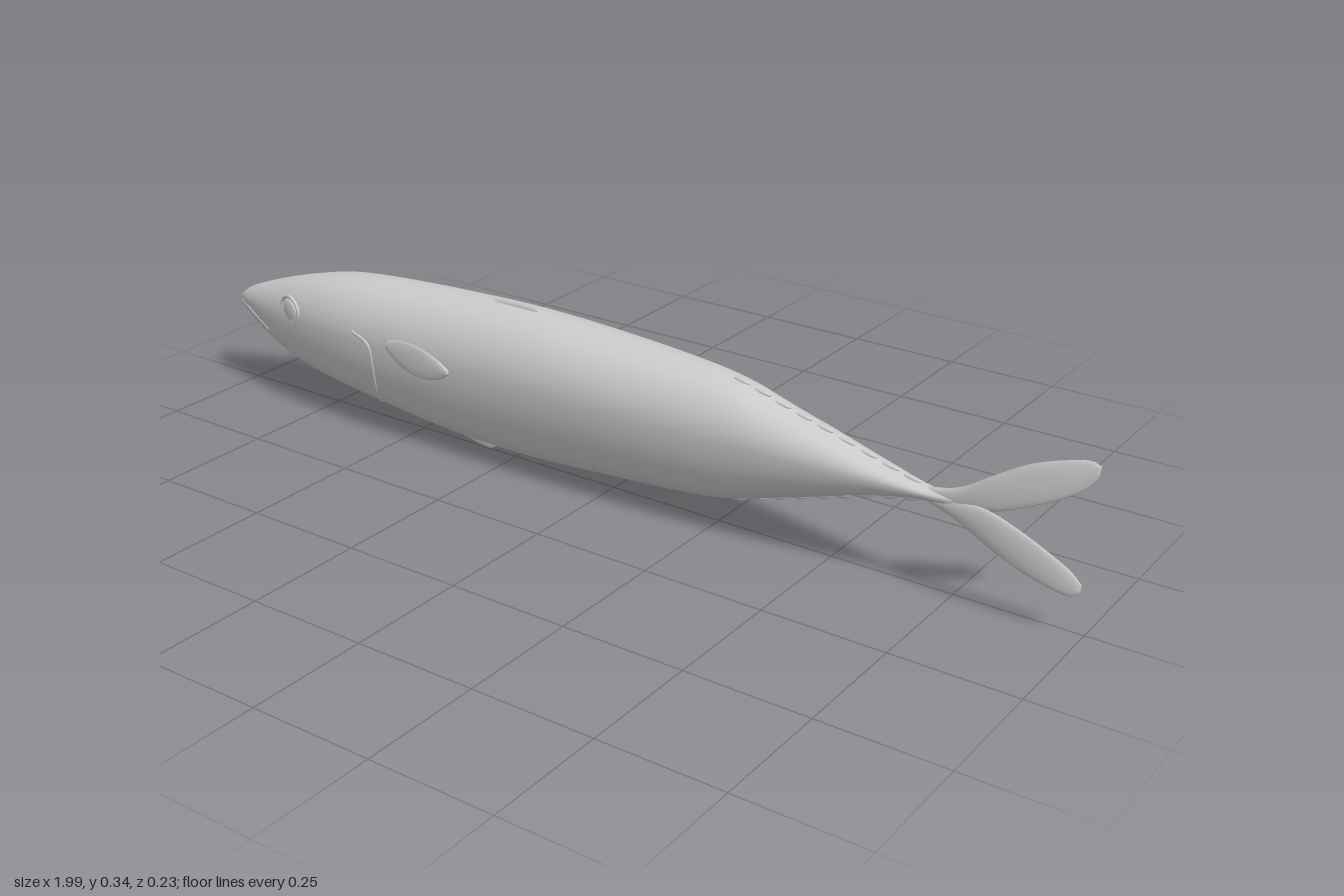
import * as THREE from 'three';

const material = new THREE.MeshStandardMaterial({ color: 0xcccccc, roughness: 0.8 });

// Body stations: x, bottom y, top y, right z (back side), left z (front side)
const BODY = [
  [-1.0, 0.187, 0.215, 0.008, 0.032], [-0.98, 0.168, 0.23, -0.004, 0.042],
  [-0.9, 0.12, 0.262, -0.032, 0.065], [-0.8, 0.084, 0.293, -0.06, 0.085],
  [-0.7, 0.064, 0.315, -0.085, 0.098], [-0.6, 0.05, 0.326, -0.095, 0.104],
  [-0.4, 0.027, 0.335, -0.109, 0.106], [-0.2, 0.022, 0.339, -0.114, 0.106],
  [0.0, 0.035, 0.332, -0.112, 0.105], [0.2, 0.053, 0.321, -0.094, 0.098],
  [0.3, 0.072, 0.31, -0.076, 0.092], [0.4, 0.105, 0.286, -0.055, 0.085],
  [0.5, 0.138, 0.262, -0.035, 0.075], [0.6, 0.17, 0.236, -0.014, 0.062],
  [0.7, 0.19, 0.215, 0.01, 0.047], [0.77, 0.19, 0.212, 0.022, 0.035],
];

// Smooth interpolation of a station table at x
function station(rows, x) {
  let i = 0;
  while (i < rows.length - 2 && x > rows[i + 1][0]) i++;
  const [a, b] = [rows[i], rows[i + 1]];
  const p = rows[Math.max(i - 1, 0)], n = rows[Math.min(i + 2, rows.length - 1)];
  const h = b[0] - a[0], t = (x - a[0]) / h, t2 = t * t, t3 = t2 * t;
  return a.map((v, k) => k === 0 ? x :
    (2 * t3 - 3 * t2 + 1) * v + (t3 - 2 * t2 + t) * h * (b[k] - p[k]) / (b[0] - p[0]) +
    (3 * t2 - 2 * t3) * b[k] + (t3 - t2) * h * (n[k] - v) / (n[0] - a[0]));
}

// Loft of egg-shaped rings through a station table; belly = height of the widest point
function loft(rows, steps, sides, belly) {
  const pos = [], idx = [];
  const x0 = rows[0][0], x1 = rows[rows.length - 1][0];
  for (let i = 0; i <= steps; i++) {
    const [x, lo, hi, zr, zl] = station(rows, x0 + (x1 - x0) * i / steps);
    const mid = lo + (hi - lo) * belly;
    for (let j = 0; j < sides; j++) {
      const a = j / sides * Math.PI * 2, s = Math.sin(a);
      pos.push(x, mid + s * (s > 0 ? hi - mid : mid - lo), (zl + zr) / 2 + Math.cos(a) * (zl - zr) / 2);
    }
  }
  for (let i = 0; i < steps; i++) for (let j = 0; j < sides; j++) {
    const k = (j + 1) % sides, a = i * sides, b = a + sides;
    idx.push(a + j, b + j, b + k, a + j, b + k, a + k);
  }
  const end = steps * sides;
  for (let j = 1; j < sides - 1; j++) {
    idx.push(0, j, j + 1, end, end + j + 1, end + j);
  }
  const g = new THREE.BufferGeometry();
  g.setAttribute('position', new THREE.Float32BufferAttribute(pos, 3));
  g.setIndex(idx);
  g.computeVertexNormals();
  return g;
}

// Point on the flank at (x, y); side +1 = left, -1 = right
function onFlank(x, y, side, lift = 0) {
  const [, lo, hi, zr, zl] = station(BODY, x);
  const mid = lo + (hi - lo) * 0.6;
  const s = (y - mid) / (y > mid ? hi - mid : mid - lo);
  const w = Math.sqrt(Math.max(0, 1 - s * s));
  return new THREE.Vector3(x, y, (zl + zr) / 2 + side * ((zl - zr) / 2 * w + lift));
}

export function createModel() {
  const fish = new THREE.Group();
  const add = (name, geometry, parent = fish) => {
    const m = new THREE.Mesh(geometry, material);
    m.name = name;
    parent.add(m);
    return m;
  };
  const ridge = (name, pts, r) =>
    add(name, new THREE.TubeGeometry(new THREE.CatmullRomCurve3(pts), 32, r, 6));

  add('body', loft(BODY, 110, 48, 0.6));

  // Forked tail, the upper lobe bending to the right
  add('upperTailLobe', loft([
    [0.69, 0.195, 0.213, 0.02, 0.038], [0.76, 0.192, 0.232, 0.024, 0.038],
    [0.82, 0.2, 0.27, 0.02, 0.034], [0.88, 0.222, 0.304, 0.01, 0.022],
    [0.94, 0.25, 0.321, -0.006, 0.004], [0.975, 0.275, 0.324, -0.018, -0.01],
    [0.99, 0.297, 0.316, -0.022, -0.016],
  ], 30, 16, 0.5));
  add('lowerTailLobe', loft([
    [0.69, 0.192, 0.208, 0.02, 0.038], [0.76, 0.168, 0.208, 0.025, 0.04],
    [0.82, 0.138, 0.206, 0.029, 0.043], [0.88, 0.11, 0.184, 0.028, 0.04],
    [0.94, 0.088, 0.151, 0.022, 0.032], [0.975, 0.08, 0.125, 0.015, 0.023],
    [0.99, 0.088, 0.105, 0.011, 0.017],
  ], 30, 16, 0.5));

  // Folded dorsal and pelvic fins
  add('dorsalFin', loft([
    [-0.31, 0.325, 0.336, -0.006, 0.003], [-0.27, 0.325, 0.345, -0.007, 0.005],
    [-0.19, 0.325, 0.346, -0.007, 0.005], [-0.175, 0.325, 0.337, -0.004, 0.003],
  ], 14, 10, 0.5));
  add('pelvicFin', loft([
    [-0.43, 0.024, 0.045, -0.008, 0.004], [-0.37, 0.01, 0.04, -0.014, 0.008],
    [-0.32, 0.002, 0.035, -0.012, 0.006], [-0.305, 0.01, 0.03, -0.006, 0.002],
  ], 14, 10, 0.5));

  // Rows of small finlets ahead of the tail
  const finlets = new THREE.Group();
  finlets.name = 'finlets';
  fish.add(finlets);
  for (const top of [true, false]) for (let i = 0; i < 9; i++) {
    const x = 0.3 + i * 0.046;
    const [, lo, hi, zr, zl] = station(BODY, x);
    const f = add(top ? 'upperFinlet' : 'lowerFinlet', new THREE.SphereGeometry(1, 10, 6), finlets);
    f.scale.set(0.019, top ? 0.005 : 0.008, 0.005);
    f.position.set(x, top ? hi : lo, (zr + zl) / 2);
    f.rotation.z = top ? -0.15 : 0.2;
  }

  // Head and flank details on both sides
  for (const side of [1, -1]) {
    const label = side > 0 ? 'left' : 'right';

    const eye = new THREE.Group();
    eye.name = label + 'Eye';
    eye.position.copy(onFlank(-0.8, 0.23, side, -0.002));
    eye.rotation.y = -side * 0.22;
    fish.add(eye);
    add('eyeRim', new THREE.TorusGeometry(0.032, 0.004, 8, 28), eye);
    add('eyeball', new THREE.SphereGeometry(0.024, 20, 12), eye).scale.z = 0.25;

    ridge(label + 'GillEdge', [[-0.6, 0.235], [-0.555, 0.215], [-0.548, 0.17], [-0.555, 0.12], [-0.575, 0.065]]
      .map(([x, y]) => onFlank(x, y, side, -0.001)), 0.004);
    ridge(label + 'Mouth', [[-0.995, 0.2], [-0.965, 0.193], [-0.93, 0.178], [-0.89, 0.16]]
      .map(([x, y]) => onFlank(x, y, side, -0.001)), 0.003);

    // Pectoral fin folded flat against the flank
    const fin = [[-0.5, 0.215, 0.238], [-0.46, 0.187, 0.248], [-0.41, 0.176, 0.244],
      [-0.36, 0.185, 0.226], [-0.335, 0.2, 0.211]].map(([x, lo, hi]) => {
      const z = onFlank(x, (lo + hi) / 2, side).z;
      return [x, lo, hi, z - 0.005, z + 0.005];
    });
    add(label + 'PectoralFin', loft(fin, 24, 14, 0.5));
  }

  return fish;
}
